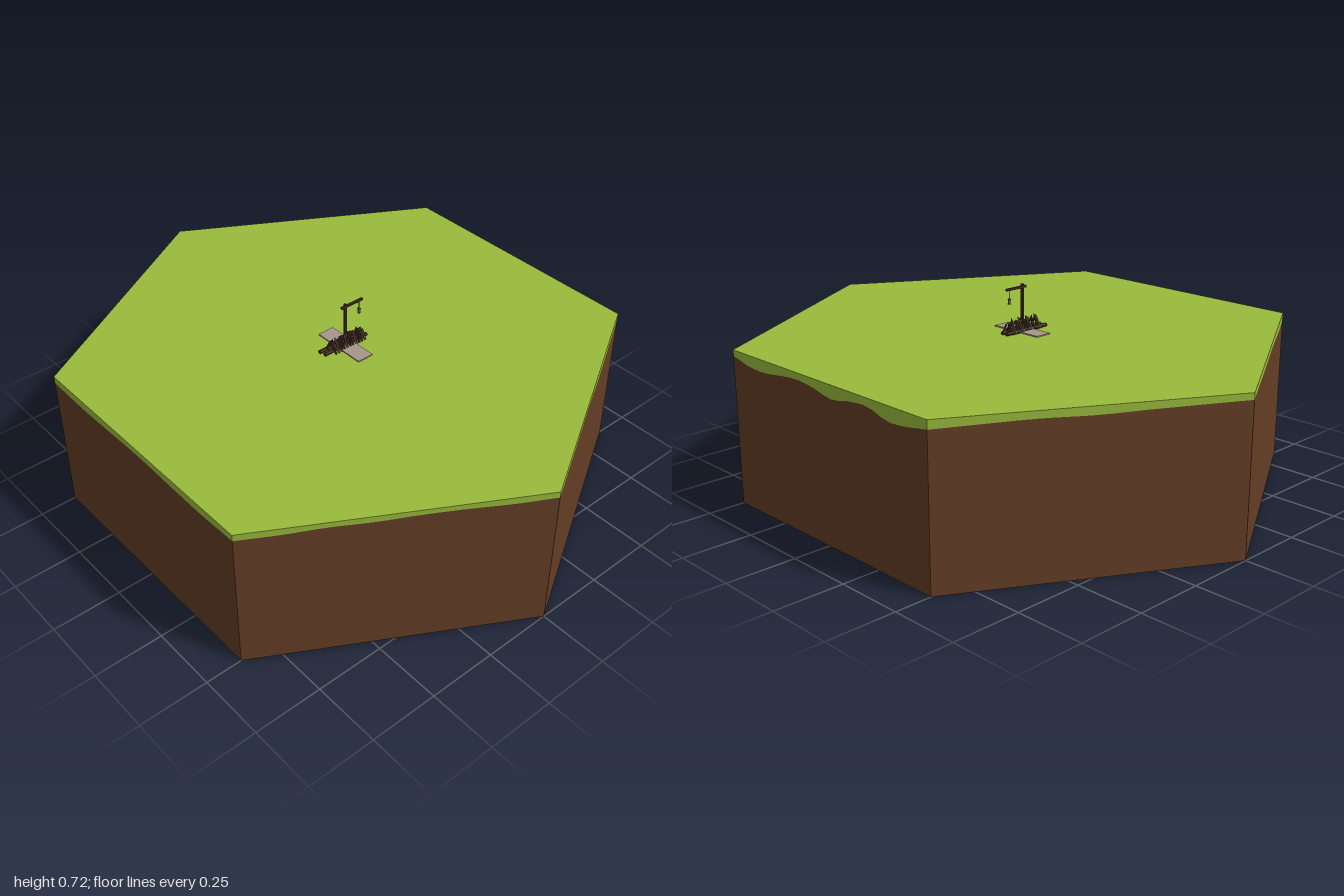
import * as THREE from 'three';

const mat = (name, color, extra = {}) => {
  const m = new THREE.MeshStandardMaterial({ color, ...extra });
  m.name = name;
  return m;
};

const TOP = 0.553;
// Height of the grass fringe along each side, starting at the +z corner
const FRINGE = [
  [0.53, 0.531, 0.533, 0.535, 0.535, 0.528, 0.522, 0.525, 0.528, 0.532],
  [0.532, 0.514, 0.511, 0.522, 0.53, 0.522, 0.506, 0.521, 0.526, 0.503, 0.508, 0.523],
  [0.523, 0.526, 0.528, 0.524, 0.527, 0.529, 0.53],
  [0.53, 0.531, 0.529, 0.531, 0.532, 0.528, 0.522, 0.527],
  [0.527, 0.522, 0.526, 0.531, 0.527, 0.523, 0.529],
  [0.529, 0.528, 0.533, 0.53, 0.534, 0.533, 0.528, 0.53],
];

export function createModel() {
  const grass = mat('grass', 0x9abb3c, { flatShading: true });
  const soil = mat('soil', 0x643d25, { flatShading: true });
  const darkWood = mat('dark wood', 0x43291c, { flatShading: true });
  const wood = mat('worn wood', 0x66503f, { flatShading: true });
  const stone = mat('path stone', 0xa8958a, { flatShading: true });
  const brass = mat('lantern brass', 0x8d8550, { flatShading: true });

  const root = new THREE.Group();
  const group = (name) => {
    const g = new THREE.Group();
    g.name = name;
    root.add(g);
    return g;
  };
  const add = (parent, name, geometry, material, x = 0, y = 0, z = 0) => {
    const m = new THREE.Mesh(geometry, material);
    m.name = name;
    m.position.set(x, y, z);
    parent.add(m);
    return m;
  };

  // Hexagonal ground: soil walls below a wavy grass fringe
  const tile = group('groundTile');
  const corner = (i) => new THREE.Vector2(Math.sin((i * Math.PI) / 3), Math.cos((i * Math.PI) / 3));
  const soilPos = [], grassPos = [];
  const quad = (out, a, b, a0, a1, b0, b1) => out.push(
    a.x, a0, a.y, b.x, b0, b.y, b.x, b1, b.y,
    a.x, a0, a.y, b.x, b1, b.y, a.x, a1, a.y);
  FRINGE.forEach((heights, i) => {
    // Smooth the fringe points into a flowing edge
    const n = 24;
    const curve = new THREE.SplineCurve(heights.map((h, k) => new THREE.Vector2(k, h)));
    const p = corner(i), q = corner(i + 1);
    for (let k = 0; k < n; k++) {
      const a = p.clone().lerp(q, k / n), b = p.clone().lerp(q, (k + 1) / n);
      const ha = curve.getPoint(k / n).y, hb = curve.getPoint((k + 1) / n).y;
      quad(soilPos, a, b, 0, ha, 0, hb);
      quad(grassPos, a, b, ha, TOP, hb, TOP);
    }
    grassPos.push(0, TOP, 0, p.x, TOP, p.y, q.x, TOP, q.y);
    soilPos.push(0, 0, 0, q.x, 0, q.y, p.x, 0, p.y);
  });
  const surface = (positions) => {
    const g = new THREE.BufferGeometry();
    g.setAttribute('position', new THREE.Float32BufferAttribute(positions, 3));
    g.computeVertexNormals();
    return g;
  };
  add(tile, 'soil', surface(soilPos), soil);
  add(tile, 'grass', surface(grassPos), grass);

  // Flat path passing under the barricade
  add(root, 'path', new THREE.BoxGeometry(0.064, 0.004, 0.212), stone, -0.002, TOP + 0.002, 0.003);

  // Barricade: base logs, crossed pointed stakes and a rail
  const fence = group('barricade');
  const log = (name, length, radius, material, x, y, z, tilt = 0) => {
    const m = add(fence, name, new THREE.CylinderGeometry(radius, radius, length, 6), material, x, y, z);
    m.rotation.z = Math.PI / 2 + tilt;
  };
  log('baseLogBack', 0.195, 0.007, darkWood, -0.005, TOP + 0.006, -0.016);
  log('baseLogFront', 0.19, 0.007, darkWood, -0.003, TOP + 0.006, 0.006);
  log('baseLogMiddle', 0.15, 0.006, darkWood, 0, TOP + 0.014, -0.006);
  log('rail', 0.14, 0.004, darkWood, 0, TOP + 0.035, 0, 0.03);

  const stake = (x, lean, tilt, height, material) => {
    const g = new THREE.Group();
    g.name = 'stake';
    add(g, 'stakeShaft', new THREE.CylinderGeometry(0.0036, 0.004, height * 0.8, 5), material, 0, height * 0.4);
    add(g, 'stakePoint', new THREE.ConeGeometry(0.0036, height * 0.2, 5), material, 0, height * 0.9);
    g.position.set(x, TOP, Math.sign(lean) * -0.024);
    g.rotation.set(lean, 0, tilt);
    fence.add(g);
  };
  for (let i = 0; i < 11; i++) {
    const x = -0.066 + i * 0.0132;
    const h = 0.056 + 0.008 * Math.sin(i * 2.3);
    stake(x, 0.5, 0.12 * Math.sin(i * 1.7), h, i % 3 ? darkWood : wood);
    stake(x + 0.005, -0.5, 0.12 * Math.cos(i * 2.1), h - 0.004, i % 3 === 1 ? wood : darkWood);
  }

  // Lamp post with a crossbar
  const lamp = group('lampPost');
  add(lamp, 'post', new THREE.BoxGeometry(0.008, 0.169, 0.008), darkWood, 0, TOP + 0.0845, 0);
  add(lamp, 'crossbar', new THREE.BoxGeometry(0.094, 0.008, 0.008), darkWood, 0.03, 0.711, 0);

  // Hanging lantern
  add(lamp, 'chain', new THREE.CylinderGeometry(0.0015, 0.0015, 0.03, 5), darkWood, 0.063, 0.694, 0);
  add(lamp, 'lanternCap', new THREE.ConeGeometry(0.007, 0.007, 6), darkWood, 0.063, 0.679, 0);
  add(lamp, 'lanternBody', new THREE.CylinderGeometry(0.0055, 0.0045, 0.014, 6), brass, 0.063, 0.668, 0);
  add(lamp, 'lanternBase', new THREE.CylinderGeometry(0.006, 0.006, 0.003, 6), darkWood, 0.063, 0.66, 0);

  return root;
}
